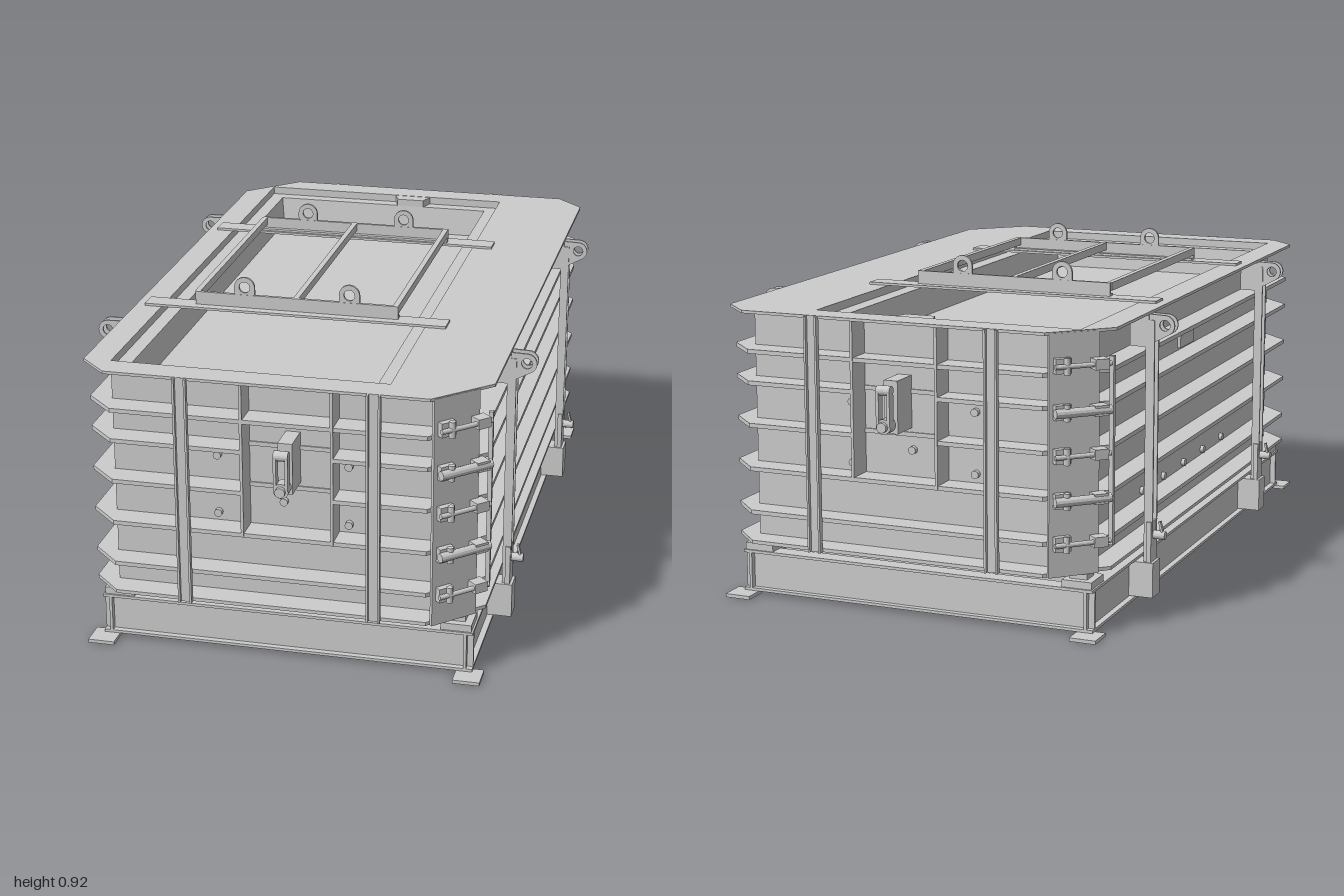
import * as THREE from 'three';

const mat = new THREE.MeshStandardMaterial({ color: 0xcccccc, flatShading: true, side: THREE.DoubleSide });

export function createModel() {
  const root = new THREE.Group();
  const add = (name, geo, x = 0, y = 0, z = 0, parent = root) => {
    const m = new THREE.Mesh(geo, mat);
    m.name = name;
    m.position.set(x, y, z);
    parent.add(m);
    return m;
  };
  // box given by its limits on each axis
  const box = (name, x0, x1, y0, y1, z0, z1, parent = root) =>
    add(name, new THREE.BoxGeometry(x1 - x0, y1 - y0, z1 - z0),
      (x0 + x1) / 2, (y0 + y1) / 2, (z0 + z1) / 2, parent);
  const rod = (name, axis, r, len, x, y, z, parent = root, n = 16) => {
    const g = new THREE.CylinderGeometry(r, r, len, n);
    if (axis === 'x') g.rotateZ(Math.PI / 2);
    if (axis === 'z') g.rotateX(Math.PI / 2);
    return add(name, g, x, y, z, parent);
  };
  const plate = (pts, depth, hole) => {
    const s = new THREE.Shape(pts.map(p => new THREE.Vector2(...p)));
    if (hole) s.holes.push(hole);
    return new THREE.ExtrudeGeometry(s, { depth, bevelEnabled: false, curveSegments: 16 });
  };
  // octagon: c cuts the plain corners, k the two clamped ones
  const octagon = (hx, hz, c, k) => [
    [hx, -hz + c], [hx, hz - k], [hx - k, hz], [-hx + c, hz],
    [-hx, hz - c], [-hx, -hz + k], [-hx + k, -hz], [hx - c, -hz]];
  const rect = (x0, x1, z) => [[x1, -z], [x1, z], [x0, z], [x0, -z]];
  const path = pts => new THREE.Path(pts.map(p => new THREE.Vector2(...p)));
  // horizontal plate with a hole; y is its upper face
  const ring = (name, pts, hole, y, t) =>
    add(name, plate(pts, t, path(hole)).rotateX(Math.PI / 2), 0, y, 0);
  const loft = rings => {
    const pos = [];
    for (let j = 0; j < rings.length - 1; j++) {
      const [y0, lo] = rings[j], [y1, hi] = rings[j + 1];
      lo.forEach((p, i) => {
        const n = (i + 1) % lo.length;
        const a = [p[0], y0, p[1]], b = [lo[n][0], y0, lo[n][1]];
        const c = [hi[n][0], y1, hi[n][1]], d = [hi[i][0], y1, hi[i][1]];
        pos.push(...a, ...d, ...c, ...a, ...c, ...b);
      });
    }
    const g = new THREE.BufferGeometry();
    g.setAttribute('position', new THREE.Float32BufferAttribute(pos, 3));
    g.computeVertexNormals();
    return g;
  };

  // upright walls with stiffening shelves all round
  const wall = rect(-0.48, 0.48, 0.848);
  add('walls', loft([[0.165, wall], [0.815, wall]]));
  const shelf = octagon(0.545, 0.92, 0.08, 0.14);
  // shelves at handle height are cut away inside the end frames
  const cutShelf = [...shelf.slice(0, 3), [0.148, 0.92], [0.148, 0.852], [-0.1, 0.852], [-0.1, 0.92],
    ...shelf.slice(3, 7), [-0.1, -0.92], [-0.1, -0.852], [0.148, -0.852], [0.148, -0.92], shelf[7]];
  for (const y of [0.715, 0.385, 0.262]) ring('stiffenerShelf', shelf, wall, y, 0.012);
  for (const y of [0.627, 0.508]) ring('stiffenerShelf', cutShelf, wall, y, 0.012);
  ring('bottomFlange', shelf, wall, 0.175, 0.01);
  box('bottomPlate', -0.48, 0.48, 0.163, 0.17, -0.848, 0.848);

  // top flange and the sunken tray
  ring('topFlange', octagon(0.557, 0.926, 0.08, 0.145), rect(-0.48, 0.29, 0.845), 0.823, 0.008);
  add('trayRim', loft([[0.823, rect(-0.48, 0.29, 0.845)], [0.8, rect(-0.48, 0.29, 0.845)]]));
  ring('trayLedge', rect(-0.48, 0.29, 0.845), rect(-0.44, 0.245, 0.805), 0.8, 0.006);
  add('trayWalls', loft([[0.8, rect(-0.44, 0.245, 0.805)], [0.69, rect(-0.43, 0.235, 0.792)]]));
  box('trayFloor', -0.43, 0.235, 0.682, 0.69, -0.792, 0.792);
  add('trayNotch', plate([[-0.06, -0.845], [0.055, -0.845], [0.04, -0.803], [-0.045, -0.803]], 0.022)
    .rotateX(Math.PI / 2), 0, 0.822, 0);

  // lifting frame lying across the opening
  const frame = new THREE.Group();
  frame.name = 'liftingFrame';
  root.add(frame);
  for (const s of [-1, 1]) {
    box('crossStrap', -0.53, 0.35, 0.823, 0.83, s * 0.37 - 0.03, s * 0.37 + 0.03, frame);
    box('endRail', -0.385, 0.208, 0.83, 0.868, s * 0.368 - 0.005, s * 0.368 + 0.005, frame);
    box('endRailLip', -0.385, 0.208, 0.83, 0.836, s * 0.36 - 0.012, s * 0.36 + 0.012, frame);
    for (const x of [-0.24, 0.067]) {
      const eye = new THREE.Shape();
      eye.moveTo(-0.03, -0.04);
      eye.lineTo(0.03, -0.04);
      eye.lineTo(0.03, 0);
      eye.absarc(0, 0, 0.03, 0, Math.PI, false);
      eye.holes.push(new THREE.Path().absarc(0, 0, 0.016, 0, Math.PI * 2, true));
      add('liftingEye', new THREE.ExtrudeGeometry(eye, { depth: 0.008, bevelEnabled: false }),
        x, 0.89, s * 0.368 - 0.004, frame);
    }
  }
  for (const x of [-0.38, -0.09, 0.2]) box('longRail', x - 0.008, x + 0.008, 0.845, 0.868, -0.365, 0.365, frame);

  // both ends: channel posts, reinforced frame, locking handle
  for (const s of [1, -1]) {
    const end = new THREE.Group();
    end.name = s > 0 ? 'frontEnd' : 'backEnd';
    end.scale.z = s;
    root.add(end);
    for (const x of [-0.263, 0.263]) {
      box('endPostWeb', x - 0.018, x + 0.018, 0.165, 0.822, 0.92, 0.927, end);
      for (const e of [-1, 1])
        box('endPostFlange', x + e * 0.016 - 0.003, x + e * 0.016 + 0.003, 0.165, 0.822, 0.922, 0.938, end);
    }
    for (const x of [-0.1, 0.148]) box('frameSide', x - 0.004, x + 0.004, 0.375, 0.815, 0.848, 0.922, end);
    box('handlePlate', 0.005, 0.045, 0.52, 0.665, 0.848, 0.935, end);
    rod('handlePin', 'z', 0.014, 0.07, 0.025, 0.548, 0.96, end);
    rod('handleHub', 'z', 0.021, 0.035, 0.025, 0.548, 0.965, end);
    for (const x of [0.009, 0.041]) box('handleArm', x - 0.004, x + 0.004, 0.55, 0.64, 0.96, 0.985, end);
    rod('handleBar', 'x', 0.014, 0.04, 0.025, 0.645, 0.972, end);
    for (const x of [-0.185, 0.18])
      for (const y of [0.58, 0.41]) rod('bolt', 'z', 0.011, 0.02, x, y, 0.852, end);
    rod('bolt', 'z', 0.011, 0.02, 0, 0.46, 0.852, end);
  }

  // long sides: posts, eyes, feet
  for (const s of [1, -1]) {
    const side = new THREE.Group();
    side.name = s > 0 ? 'leftSide' : 'rightSide';
    side.scale.x = s;
    root.add(side);
    for (const z of [-0.507, 0.507]) {
      box('sidePost', 0.547, 0.556, 0.12, 0.82, z - 0.02, z + 0.02, side);
      for (const e of [-1, 1]) {
        box('sidePostFlange', 0.55, 0.572, 0.2, 0.8, z + e * 0.017 - 0.003, z + e * 0.017 + 0.003, side);
        const hole = new THREE.Path().absarc(0.6, 0.787, 0.015, 0, Math.PI * 2, true);
        const rim = Array.from({ length: 13 }, (_, i) => {
          const a = -Math.PI / 3 + i * Math.PI * 5 / 72;
          return [0.6 + 0.028 * Math.cos(a), 0.787 + 0.028 * Math.sin(a)];
        });
        add('sideEyePlate', plate([[0.5, 0.725], [0.545, 0.725], ...rim, [0.5, 0.818]], 0.006, hole),
          0, 0, z + e * 0.014 - 0.003, side);
      }
      box('footBlock', 0.5, 0.578, 0.02, 0.12, z - 0.03, z + 0.03, side);
      box('footPlate', 0.556, 0.57, 0.12, 0.235, z - 0.026, z + 0.026, side);
      rod('footPin', 'x', 0.012, 0.04, 0.584, 0.195, z, side);
      const key = box('footKey', 0.59, 0.596, 0.185, 0.235, z - 0.006, z + 0.006, side);
      key.rotation.z = 0.25;
    }
    for (const z of [-0.365, -0.18, 0, 0.18, 0.365])
      rod('sideBolt', 'x', 0.011, 0.02, 0.48, 0.278, z, side);
    box('sidePlate', 0.48, 0.49, 0.635, 0.7, -0.06, 0.06, side);
  }

  // clamped corners on one diagonal
  for (const turn of [0, Math.PI]) {
    const corner = new THREE.Group();
    corner.name = 'clampedCorner';
    corner.rotation.y = turn;
    root.add(corner);
    const inset = new THREE.Group();
    inset.position.set(0.477, 0, 0.872);
    inset.rotation.y = Math.PI / 4;
    corner.add(inset);
    box('cornerPanel', -0.072, 0.072, 0.165, 0.82, -0.016, -0.006, inset);
    [0.735, 0.612, 0.495, 0.375, 0.258].forEach((y, i) => {
      box('clampBase', -0.06, -0.015, y - 0.02, y + 0.02, -0.01, 0.012, inset);
      box('clampCatch', 0.045, 0.085, y - 0.014, y + 0.014, -0.01, 0.028, inset);
      rod('clampRod', 'x', i % 2 ? 0.013 : 0.007, 0.16, 0.015, y, 0.018, inset, 12);
      rod('clampPivot', 'y', 0.009, 0.045, -0.03, y, 0.016, inset, 12);
    });
    box('cornerStrip', 0.544, 0.556, 0.24, 0.75, 0.785, 0.8, corner);
  }

  // open base frame
  const base = new THREE.Group();
  base.name = 'baseFrame';
  root.add(base);
  for (const s of [-1, 1]) {
    const bx = (n, a, b, ...r) => box(n, Math.min(s * a, s * b), Math.max(s * a, s * b), ...r, base);
    const bz = (n, x0, x1, y0, y1, a, b) =>
      box(n, x0, x1, y0, y1, Math.min(s * a, s * b), Math.max(s * a, s * b), base);
    bx('sideRail', 0.5, 0.508, 0.01, 0.128, -0.865, 0.865);
    bz('endRail', -0.525, 0.525, 0.01, 0.128, 0.84, 0.848);
    for (const y of [0.01, 0.12]) {
      bx('sideRailFlange', 0.475, 0.525, y, y + 0.008, -0.865, 0.865);
      bz('endRailFlange', -0.525, 0.525, y, y + 0.008, 0.815, 0.865);
    }
    for (const z of [-1, 1]) {
      bx('cornerFoot', 0.48, 0.555, 0, 0.01, Math.min(z * 0.845, z * 0.92), Math.max(z * 0.845, z * 0.92));
      bx('cornerPad', 0.435, 0.52, 0.128, 0.148, Math.min(z * 0.77, z * 0.86), Math.max(z * 0.77, z * 0.86));
      bx('padSpacer', 0.45, 0.5, 0.148, 0.165, Math.min(z * 0.79, z * 0.84), Math.max(z * 0.79, z * 0.84));
    }
  }
  for (let i = 0; i < 8; i++) {
    const z = -0.665 + i * 0.19;
    box('crossBeam', -0.5, 0.5, 0.02, 0.125, z - 0.004, z + 0.004, base);
    for (const y of [0.02, 0.118]) box('crossBeamFlange', -0.5, 0.5, y, y + 0.007, z, z + 0.03, base);
  }
  return root;
}
